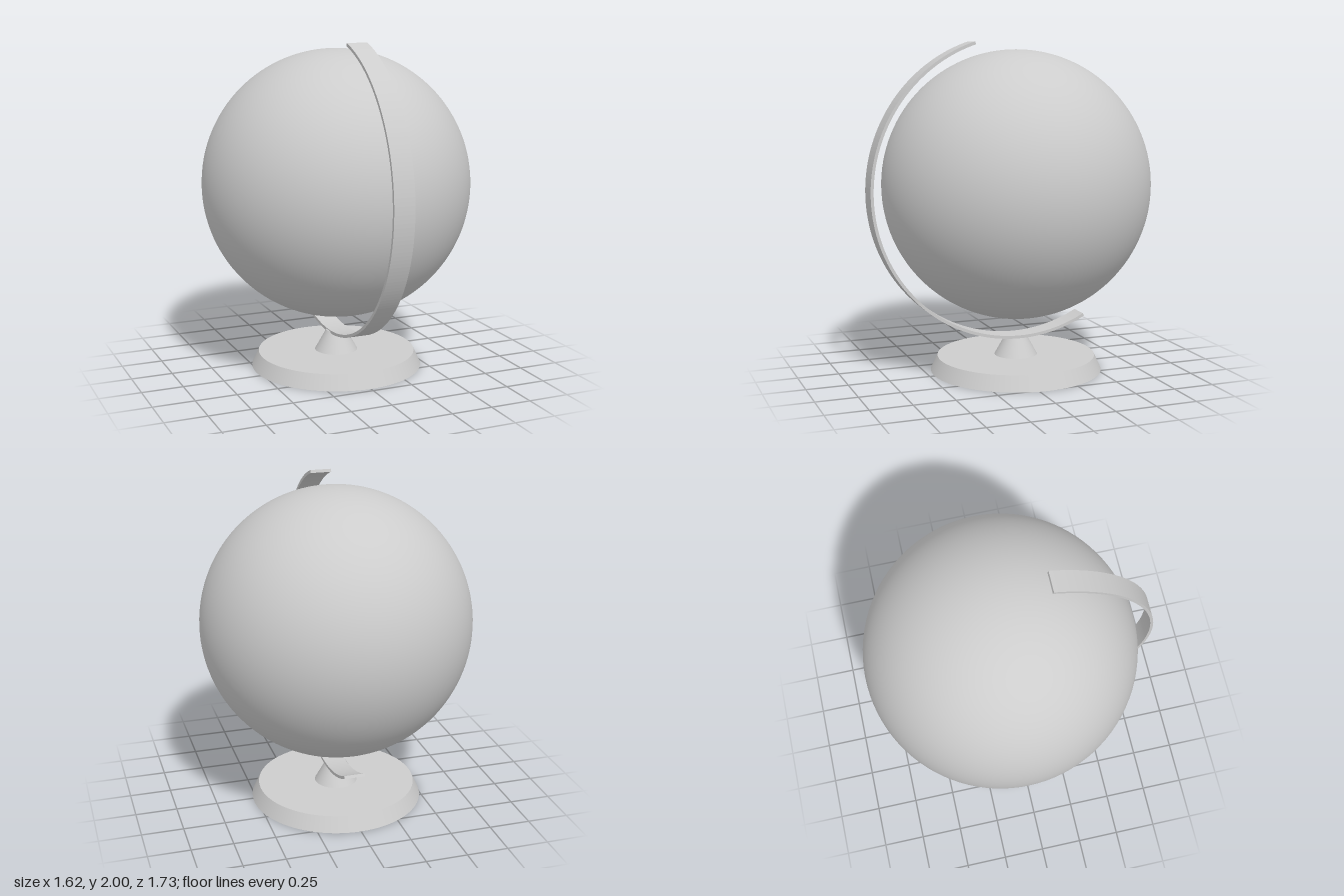
import * as THREE from 'three';

const AXIS_Z = -0.054; // shared vertical axis of ball, bracket and foot

export function createModel() {
  const grey = new THREE.MeshStandardMaterial({ color: 0xcccccc });
  grey.name = 'grey';
  const group = new THREE.Group();

  const add = (name, geometry, x, y, z) => {
    const mesh = new THREE.Mesh(geometry, grey);
    mesh.name = name;
    mesh.position.set(x, y, z);
    group.add(mesh);
    return mesh;
  };

  // Globe ball
  add('ball', new THREE.SphereGeometry(0.81, 96, 64), 0, 1.14, AXIS_Z);

  // Curved flat bracket: an arc-shaped strip extruded sideways
  const start = THREE.MathUtils.degToRad(-117.7);
  const end = THREE.MathUtils.degToRad(72.1);
  const arc = new THREE.Shape();
  arc.absarc(0, 0, 0.919, start, end, false);
  arc.absarc(0, 0, 0.901, end, start, true);
  arc.closePath();
  const width = 0.127;
  const strip = new THREE.ExtrudeGeometry(arc, { depth: width, bevelEnabled: false, curveSegments: 64 });
  // Shape x becomes +z, extrusion runs towards -x
  strip.rotateY(-Math.PI / 2);
  add('bracket', strip, 0.074, 1.122, AXIS_Z);

  // Foot: wide bevelled disc with a tapered neck
  add('base', new THREE.CylinderGeometry(0.482, 0.524, 0.09, 96), 0, 0.045, AXIS_Z);
  add('neck', new THREE.CylinderGeometry(0.062, 0.131, 0.125, 64), 0, 0.1525, AXIS_Z);

  return group;
}
